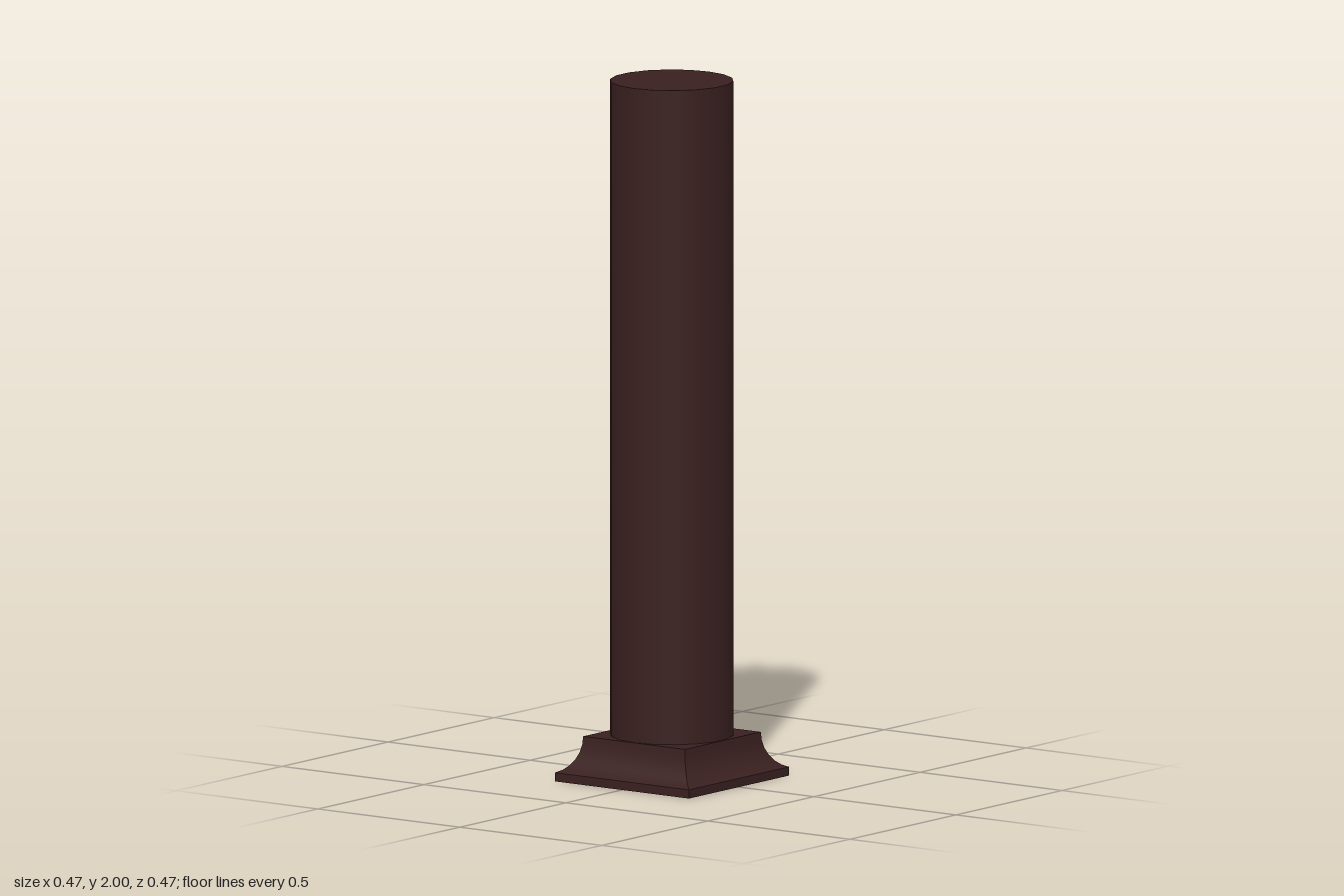
import * as THREE from 'three';
import { toCreasedNormals } from 'three/addons/utils/BufferGeometryUtils.js';

export function createModel() {
  const group = new THREE.Group();
  group.name = 'column';
  const material = new THREE.MeshStandardMaterial({ color: 0x3a2020 });

  // Square plinth: low vertical edge, concave cove, flat top.
  const half = 0.236, topHalf = 0.179, edge = 0.025, top = 0.127, steps = 6;
  const profile = [[0, 0], [half, 0], [half, edge]];
  for (let i = 1; i <= steps; i++) {
    const a = 0.2 + (Math.PI / 2 - 0.2) * (i / steps);
    const k = (1 - Math.sin(a)) / (1 - Math.sin(0.2));
    const h = 1 - Math.cos(a) / Math.cos(0.2);
    profile.push([topHalf + (half - topHalf) * k, edge + (top - edge) * h]);
  }
  profile.push([0, top]);
  const points = profile.map(([x, y]) => new THREE.Vector2(x * Math.SQRT2, y));
  const plinthGeometry = new THREE.LatheGeometry(points, 4, Math.PI / 4);
  const plinth = new THREE.Mesh(toCreasedNormals(plinthGeometry, 0.6), material);
  plinth.name = 'plinth';

  // Round shaft with 18 smooth-shaded sides, a vertex on the x axis.
  const height = 2 - top;
  const shaft = new THREE.Mesh(
    new THREE.CylinderGeometry(0.175, 0.175, height, 18, 1, false, Math.PI / 2), material);
  shaft.position.set(-0.001, top + height / 2, 0);
  shaft.name = 'shaft';

  group.add(plinth, shaft);
  return group;
}
